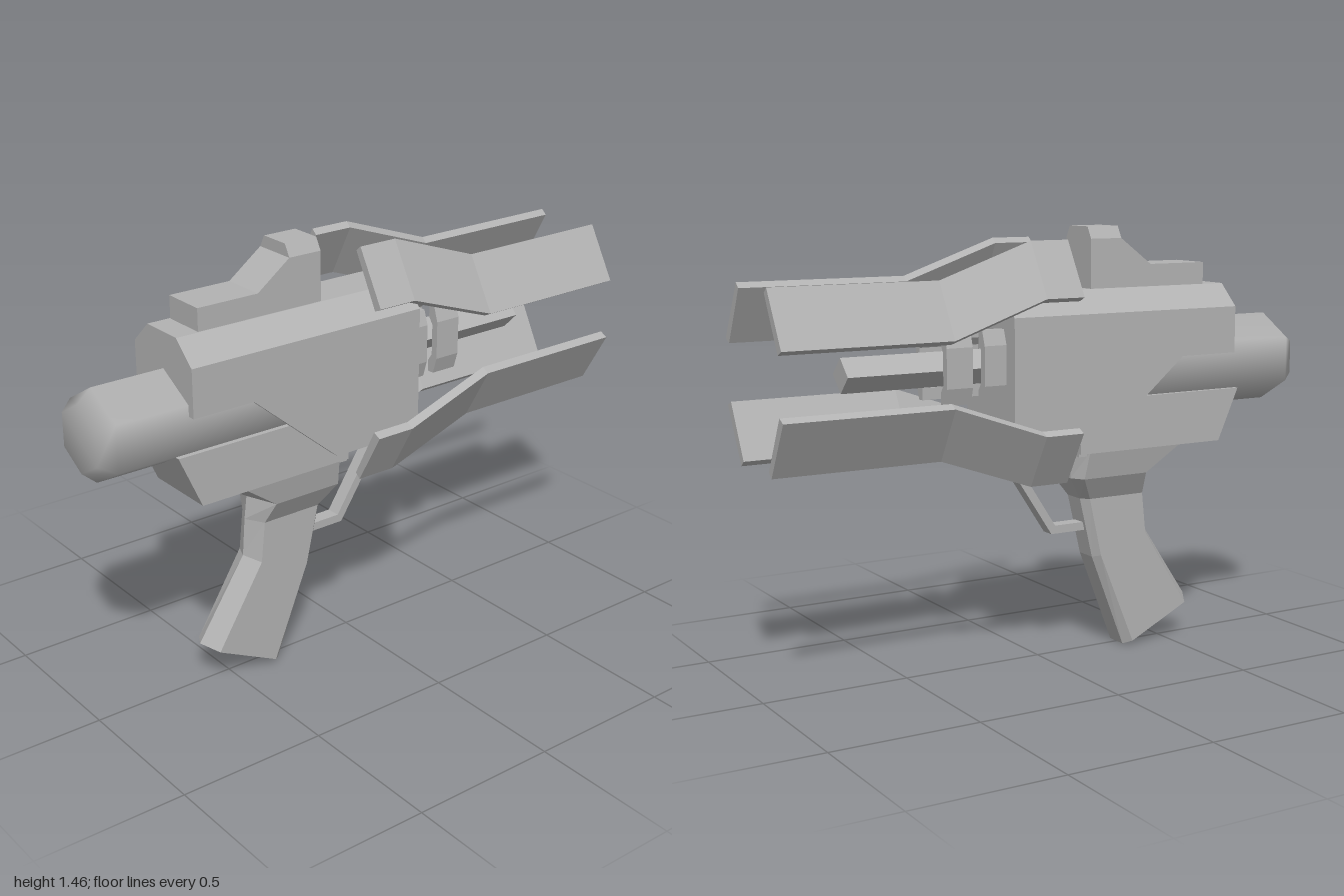
import * as THREE from 'three';

const grey = new THREE.MeshStandardMaterial({ color: 0xb2b2b2 });
grey.name = 'grey';

// Skin between rings of [x, y, z] points, with flat facets and closed ends
function loft(rings, flip = false) {
  const pos = [];
  const tri = (a, b, c) => pos.push(...a, ...(flip ? c : b), ...(flip ? b : c));
  const n = rings[0].length;
  for (let i = 0; i < rings.length - 1; i++) {
    for (let j = 0; j < n; j++) {
      const k = (j + 1) % n;
      tri(rings[i][j], rings[i][k], rings[i + 1][k]);
      tri(rings[i][j], rings[i + 1][k], rings[i + 1][j]);
    }
  }
  const first = rings[0], last = rings[rings.length - 1];
  for (let j = 1; j < n - 1; j++) {
    tri(first[0], first[j + 1], first[j]);
    tri(last[0], last[j], last[j + 1]);
  }
  const g = new THREE.BufferGeometry();
  g.setAttribute('position', new THREE.Float32BufferAttribute(pos, 3));
  g.computeVertexNormals();
  return g;
}

const shapeOf = (pts) => new THREE.Shape(pts.map(([a, b]) => new THREE.Vector2(a, b)));

// Side profile of [z, y] points extruded across x; the top edge can be chamfered
function slab(profile, half, inner = half / 3, topY = Infinity, edgeY = 0) {
  const g = new THREE.ExtrudeGeometry(shapeOf(profile), { depth: half * 2, steps: 3, bevelEnabled: false });
  g.rotateY(-Math.PI / 2).translate(half, 0, 0);
  const p = g.attributes.position;
  for (let i = 0; i < p.count; i++) {
    const x = p.getX(i);
    if (Math.abs(x) < half * 0.9) p.setX(i, Math.sign(x) * inner);
    else if (p.getY(i) > topY - 0.001) p.setY(i, edgeY);
  }
  g.computeVertexNormals();
  return g;
}

export function createModel() {
  const model = new THREE.Group();
  const add = (name, geometry) => {
    const m = new THREE.Mesh(geometry, grey);
    m.name = name;
    model.add(m);
  };

  // Main housing with chamfered top
  add('upperHousing', slab(
    [[0.7, 1.255], [-0.18, 1.255], [-0.18, 0.75], [0.16, 0.75], [0.48, 1.02], [0.7, 1.02]],
    0.16, 0.08, 1.255, 1.18));
  add('lowerHousing', slab([[0.74, 0.89], [0.66, 0.71], [0.09, 0.71], [0.09, 0.89]], 0.13));

  // Stepped block on top
  add('topSight', slab(
    [[0.62, 1.25], [0.62, 1.33], [0.4, 1.33], [0.28, 1.42], [0.28, 1.46], [0.16, 1.46], [0.16, 1.25]],
    0.077, 0.055, 1.46, 1.42));

  // Smooth six-sided cylinder with a bevelled end
  const barrel = new THREE.LatheGeometry(
    [[0.155, 0.2], [0.155, 0.95], [0.112, 1], [0, 1]].map(([r, y]) => new THREE.Vector2(r, y)), 6);
  barrel.rotateX(Math.PI / 2).translate(0, 0.98, 0);
  add('roundedBarrel', barrel);

  // Diamond-section rod
  const rod = new THREE.CylinderGeometry(0.057, 0.057, 0.56, 4).toNonIndexed();
  rod.rotateX(Math.PI / 2).translate(0, 1.013, -0.435);
  rod.computeVertexNormals();
  add('innerRod', rod);

  // Paired brackets either side of the rod
  const bracket = [[0.065, 1.14], [0.09, 1.14], [0.107, 1.09], [0.107, 0.96], [0.09, 0.905],
    [0.065, 0.905], [0.065, 0.945], [0.082, 0.97], [0.082, 1.075], [0.065, 1.1]];
  for (const side of [-1, 1]) {
    for (const z of [-0.26, -0.397]) {
      const g = new THREE.ExtrudeGeometry(shapeOf(bracket.map(([x, y]) => [x * side, y])),
        { depth: 0.094, bevelEnabled: false });
      add('rodBracket', g.translate(0, 0, z));
    }
  }

  // Four bent prongs, mirrored left-right and top-bottom
  const section = [[0.125, 1.422], [0.105, 1.405], [0.2, 1.228], [0.228, 1.242]];
  const path = [[-1, -0.115], [-0.43, -0.115], [-0.1, 0], [0.04, 0]];
  for (const sx of [-1, 1]) {
    for (const sy of [-1, 1]) {
      const rings = path.map(([z, dy]) =>
        section.map(([x, y]) => [sx * x, 1.021 + sy * (y + dy - 1.021), z]));
      add(sy > 0 ? 'upperProng' : 'lowerProng', loft(rings, sx * sy < 0));
    }
  }

  // Grip: front and back points [z, y] with half width, from the bottom up
  const grip = [
    [[0.61, 0.14], [0.325, 0], 0.064],
    [[0.43, 0.41], [0.195, 0.33], 0.064],
    [[0.42, 0.54], [0.145, 0.54], 0.064],
    [[0.41, 0.62], [0.09, 0.62], 0.11],
    [[0.56, 0.715], [0.085, 0.715], 0.13],
  ].map(([f, b, w]) => [[w, 0.13], [w, 0.91], [w * 0.6, 1], [-w * 0.6, 1], [-w, 0.91], [-w, 0.13], [0, 0]]
    .map(([x, t]) => [x, f[1] + (b[1] - f[1]) * t, f[0] + (b[0] - f[0]) * t]));
  add('grip', loft(grip));

  // Rear filler joining grip to housing
  add('gripCollar', slab([[0.3, 0.78], [0.3, 0.7], [0.09, 0.7], [0.09, 0.78]], 0.12));

  // Bent trigger guard
  add('triggerGuard', slab(
    [[0.19, 0.425], [0.04, 0.425], [-0.18, 0.76], [-0.145, 0.76], [0.055, 0.453], [0.19, 0.453]], 0.025));

  return model;
}
